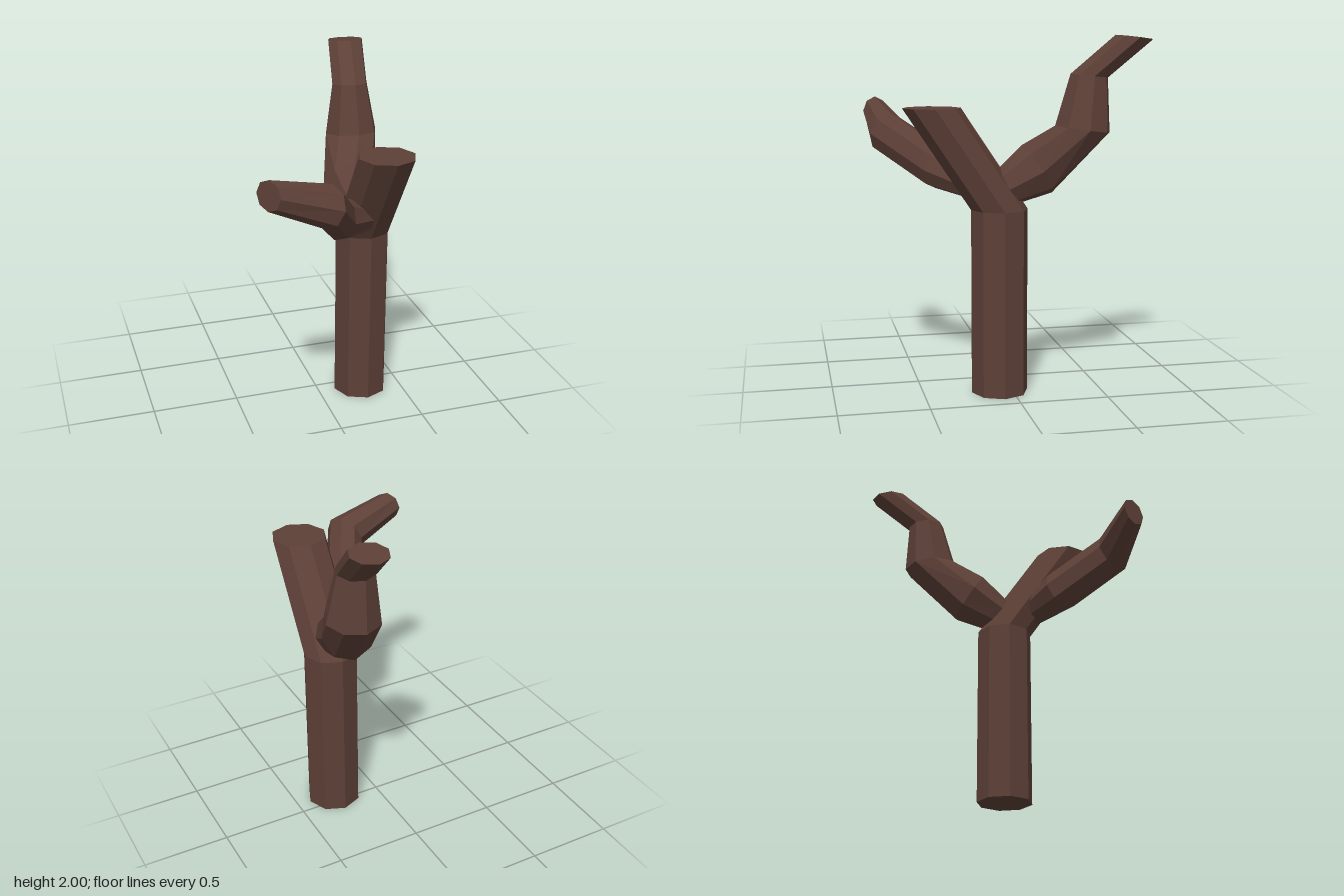
import * as THREE from 'three';

const SIDES = 8;

// Faceted, capped limb through octagonal rings; each ring is [centre, radius vector u, radius vector v]
function limb(name, rings, material) {
  const points = rings.map(([c, u, v]) => Array.from({ length: SIDES }, (_, j) => {
    const a = (j / SIDES) * Math.PI * 2;
    return c.map((k, i) => k + u[i] * Math.cos(a) + v[i] * Math.sin(a));
  }));
  const pos = [];
  const tri = (...corners) => corners.forEach((p) => pos.push(...p));
  const last = rings.length - 1;
  for (let j = 0; j < SIDES; j++) {
    const k = (j + 1) % SIDES;
    for (let i = 0; i < last; i++) {
      const low = points[i], high = points[i + 1];
      tri(low[j], high[j], high[k]);
      tri(low[j], high[k], low[k]);
    }
    tri(rings[0][0], points[0][j], points[0][k]);
    tri(rings[last][0], points[last][k], points[last][j]);
  }
  const geometry = new THREE.BufferGeometry();
  geometry.setAttribute('position', new THREE.Float32BufferAttribute(pos, 3));
  geometry.computeVertexNormals();
  const mesh = new THREE.Mesh(geometry, material);
  mesh.name = name;
  return mesh;
}

// Ring facing up and back: r is the radius, tilt lifts its front edge
const backRing = (x, y, z, r, tilt) =>
  [[x, y, z], [r, 0, 0], [0, r * Math.sin(tilt), r * Math.cos(tilt)]];

// Ring facing forward and to the model's right, leaning back by tilt
const sideRing = (x, y, z, r, tilt) => {
  const s = Math.sin(tilt), c = Math.cos(tilt);
  return [[x, y, z], [0.54 * r, 0, 0.84 * r], [-0.84 * s * r, -c * r, 0.54 * s * r]];
};

export function createModel() {
  const group = new THREE.Group();
  group.name = 'bareTree';
  const bark = new THREE.MeshStandardMaterial({ color: 0x5d4037, flatShading: true });

  // Straight trunk with a leaning, level-cut top
  group.add(limb('trunk', [
    backRing(0.26, 0, 0.07, 0.16, 0),
    backRing(0.26, 1.045, 0.07, 0.16, 0),
    backRing(0.26, 1.61, 0.445, 0.16, 0),
  ], bark));

  // Tall crooked branch at the back
  group.add(limb('backBranch', [
    backRing(0.255, 1.165, 0.035, 0.11, 1.1),
    backRing(0.255, 1.265, -0.145, 0.16, 1.01),
    backRing(0.34, 1.49, -0.38, 0.157, 0.13),
    backRing(0.34, 1.78, -0.415, 0.107, 0.1),
    backRing(0.39, 1.988, -0.652, 0.107, 0.12),
  ], bark));

  // Thinner branch reaching forward and sideways
  group.add(limb('sideBranch', [
    sideRing(0.205, 1.19, 0.235, 0.085, 0.05),
    sideRing(0.018, 1.25, 0.365, 0.12, 0.3),
    sideRing(-0.138, 1.45, 0.65, 0.118, 0.28),
    sideRing(-0.458, 1.556, 0.688, 0.083, 0.07),
  ], bark));

  return group;
}
